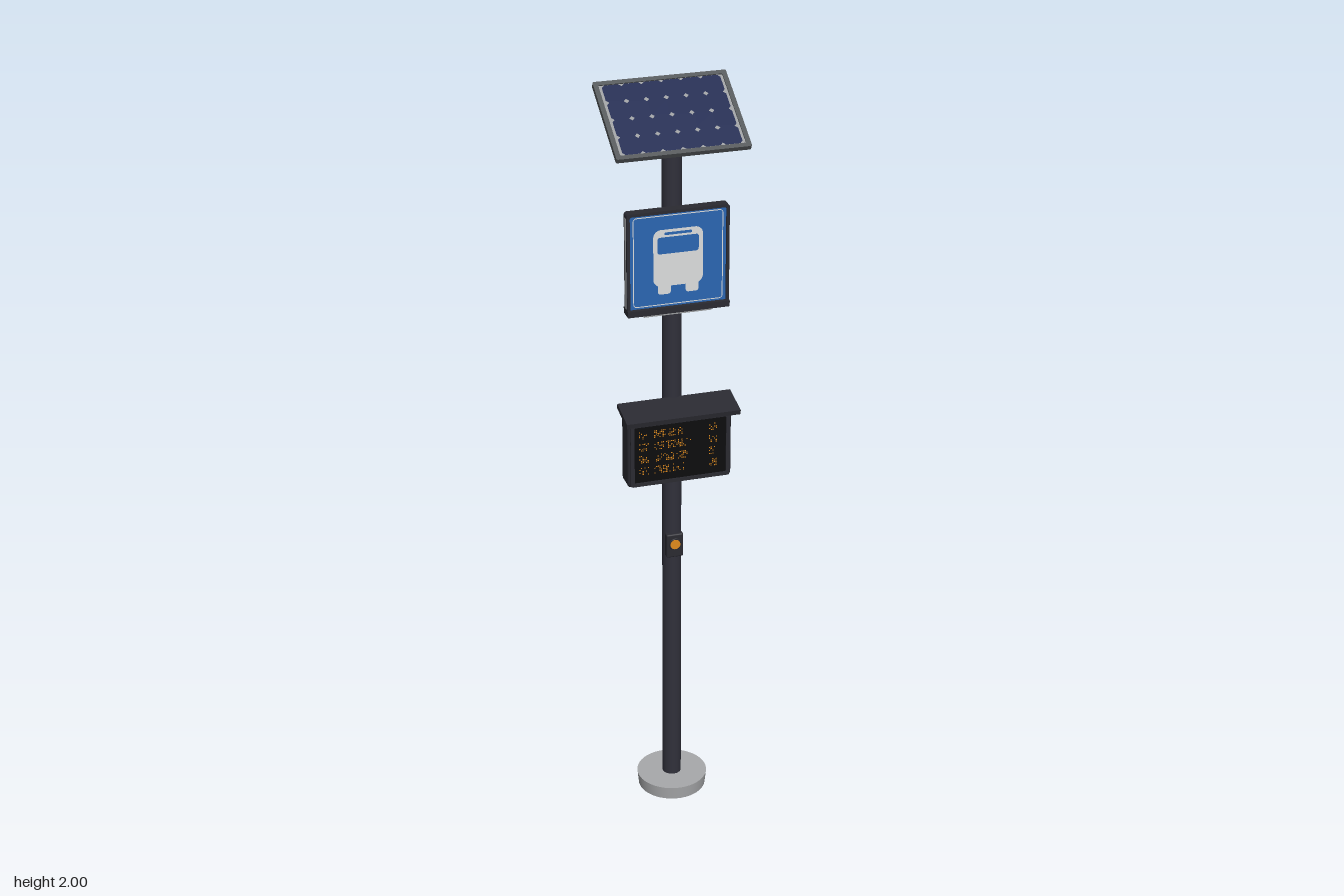
import * as THREE from 'three';
import { mergeGeometries } from 'three/addons/utils/BufferGeometryUtils.js';
import { RoundedBoxGeometry } from 'three/addons/geometries/RoundedBoxGeometry.js';

const paint = (name, color) => Object.assign(new THREE.MeshStandardMaterial({ color }), { name });

// Closed rounded rectangle, usable as a shape or a hole
function roundRect(w, h, r, cx = 0, cy = 0, Type = THREE.Shape) {
  const s = new Type();
  const x = w / 2 - r, y = h / 2 - r;
  s.absarc(cx + x, cy + y, r, 0, Math.PI / 2);
  s.absarc(cx - x, cy + y, r, Math.PI / 2, Math.PI);
  s.absarc(cx - x, cy - y, r, Math.PI, Math.PI * 1.5);
  s.absarc(cx + x, cy - y, r, Math.PI * 1.5, Math.PI * 2);
  s.closePath();
  return s;
}

function frameShape(w, h, r, border) {
  const s = roundRect(w, h, r);
  s.holes.push(roundRect(w - 2 * border, h - 2 * border, r * 0.6, 0, 0, THREE.Path));
  return s;
}

export function createModel() {
  const mat = {
    pole: paint('charcoal paint', 0x30303a),
    dark: paint('dark housing', 0x2a2a31),
    concrete: paint('concrete grey', 0xa8a9ab),
    frame: paint('panel metal', 0x535759),
    silver: paint('silver trim', 0x9a9c9e),
    navy: paint('solar navy', 0x1f2950),
    blue: paint('sign blue', 0x2a66b2),
    white: paint('sign white', 0xdcdddd),
    black: paint('screen black', 0x0c0c0e),
    amber: paint('amber', 0xe08a1c),
  };
  const model = new THREE.Group();
  model.name = 'transitStopPole';

  const add = (parent, name, geo, material, x = 0, y = 0, z = 0) => {
    const m = new THREE.Mesh(geo, material);
    m.name = name;
    m.position.set(x, y, z);
    parent.add(m);
    return m;
  };
  const group = (name, x, y, z, parent = model) => {
    const g = new THREE.Group();
    g.name = name;
    g.position.set(x, y, z);
    parent.add(g);
    return g;
  };
  const box = (w, h, d) => new THREE.BoxGeometry(w, h, d);
  const cyl = (a, b, h, n = 40) => new THREE.CylinderGeometry(a, b, h, n);

  // Foot and pole
  add(model, 'base', cyl(0.095, 0.091, 0.037, 48), mat.concrete, 0, 0.0185);
  add(model, 'pole', cyl(0.025, 0.025, 1.86), mat.pole, 0, 0.96);

  // Solar panel, tilted down towards the front
  const solar = group('solarPanel', 0, 1.932, 0);
  solar.rotation.x = Math.PI / 6;
  const L = 0.248, W = 0.34, T = 0.013;
  const rim = new THREE.ExtrudeGeometry(frameShape(W, L, 0.004, 0.012), { depth: T, bevelEnabled: false });
  rim.rotateX(-Math.PI / 2);
  add(solar, 'panelRim', rim, mat.frame, 0, -T / 2);
  add(solar, 'panelBack', box(W - 0.02, 0.006, L - 0.02), mat.frame, 0, -0.0034);
  add(solar, 'panelBacksheet', box(W - 0.022, 0.004, L - 0.022), mat.silver, 0, 0.0016);

  // Cells with clipped corners leave small diamonds between them
  const cw = 0.0503, ch = 0.0553, c = 0.007, cells = [];
  for (let i = 0; i < 6; i++) for (let j = 0; j < 4; j++) {
    const a = cw / 2, b = ch / 2;
    const pts = [[a - c, -b], [a, c - b], [a, b - c], [a - c, b], [c - a, b], [-a, b - c], [-a, c - b], [c - a, -b]];
    const g = new THREE.ShapeGeometry(new THREE.Shape(pts.map(p => new THREE.Vector2(...p))));
    cells.push(g.translate((i - 2.5) * cw, (j - 1.5) * ch, 0));
  }
  add(solar, 'solarCells', mergeGeometries(cells).rotateX(-Math.PI / 2), mat.navy, 0, 0.005);

  // Tilting mount between pole and panel
  const mount = group('panelMount', 0, 1.9, 0.01);
  add(mount, 'mountNeck', cyl(0.013, 0.013, 0.05, 24), mat.pole, 0, 0.0, -0.005);
  add(mount, 'mountHinge', cyl(0.012, 0.012, 0.034, 24).rotateZ(Math.PI / 2), mat.pole, 0, 0.008, 0.006);
  add(mount, 'mountPlate', box(0.06, 0.006, 0.05), mat.frame, 0, 0.018, 0.001).rotation.x = Math.PI / 6;

  // Double-sided route sign
  const sign = group('routeSign', 0, 1.578, 0.045);
  add(sign, 'signBoard', box(0.25, 0.256, 0.018), mat.blue);
  const border = new THREE.ExtrudeGeometry(frameShape(0.264, 0.266, 0.008, 0.008), { depth: 0.026, bevelEnabled: false });
  add(sign, 'signFrame', border, mat.dark, 0, 0, -0.013);
  for (const s of [-1, 1]) add(sign, 'signEdgeTrim', box(0.002, 0.24, 0.012), mat.silver, s * 0.132, 0, 0);
  add(sign, 'signSill', box(0.264, 0.016, 0.04), mat.dark, 0, -0.13, 0);
  add(sign, 'signLip', box(0.176, 0.008, 0.02), mat.silver, 0, -0.142, 0);
  for (const y of [-0.125, 0.09]) add(sign, 'signBracket', box(0.04, 0.014, 0.045), mat.pole, 0, y, -0.03);

  // Bus pictogram: body with window and destination openings
  const bus = roundRect(0.128, 0.15, 0.02, 0, 0.008);
  bus.holes.push(roundRect(0.106, 0.044, 0.006, 0, 0.041, THREE.Path));
  bus.holes.push(roundRect(0.07, 0.007, 0.002, 0, 0.072, THREE.Path));
  const wheels = [-1, 1].map(s => roundRect(0.034, 0.03, 0.008, s * 0.036, -0.073));
  for (const side of [0, 1]) {
    const face = group('signFace', 0, 0, 0, sign);
    face.rotation.y = side * Math.PI;
    add(face, 'busBody', new THREE.ShapeGeometry(bus), mat.white, 0, 0, 0.0105);
    add(face, 'busWheels', new THREE.ShapeGeometry(wheels), mat.white, 0, 0, 0.0115);
    add(face, 'signOutline', new THREE.ShapeGeometry(frameShape(0.232, 0.238, 0.01, 0.0025)), mat.white, 0, 0.002, 0.0105);
  }

  // Arrival display with sloping hood
  const display = group('arrivalDisplay', 0, 1.064, 0.044);
  add(display, 'displayHousing', new RoundedBoxGeometry(0.276, 0.19, 0.062, 3, 0.01), mat.dark);
  add(display, 'displayScreen', box(0.244, 0.16, 0.004), mat.black, 0, -0.002, 0.03);
  add(display, 'displayBezel', new THREE.ExtrudeGeometry(frameShape(0.264, 0.178, 0.006, 0.01),
    { depth: 0.006, bevelEnabled: false }), mat.dark, 0, -0.002, 0.029);
  add(display, 'displayHood', box(0.3, 0.013, 0.092), mat.dark, 0, 0.108, 0.02).rotation.x = 0.19;
  add(display, 'hoodSupport', box(0.24, 0.02, 0.03), mat.dark, 0, 0.096, -0.005);
  add(display, 'displayBracket', box(0.05, 0.12, 0.03), mat.pole, 0, 0, -0.03);

  // Abstract dot-matrix rows: short, long and short blocks
  let seed = 7;
  const rand = () => (seed = (seed * 16807) % 2147483647) / 2147483647;
  const dots = [], pitch = 0.0045;
  for (let row = 0; row < 4; row++) {
    for (const [x0, n] of [[-0.108, 6], [-0.068, 17 + (row * 5) % 7], [0.078, 5]]) {
      for (let i = 0; i < n; i++) for (let j = 0; j < 5; j++) {
        if (rand() > 0.45) continue;
        dots.push(new THREE.PlaneGeometry(0.003, 0.003).translate(x0 + i * pitch, 0.062 - row * 0.034 - j * pitch, 0));
      }
    }
  }
  add(display, 'displayDots', mergeGeometries(dots), mat.amber, 0, 0, 0.0332);

  // Call button on the pole
  const call = group('callButton', 0, 0.758, 0.022);
  add(call, 'buttonBox', new RoundedBoxGeometry(0.046, 0.068, 0.02, 2, 0.004), mat.dark);
  add(call, 'buttonRing', new THREE.TorusGeometry(0.015, 0.002, 8, 32), mat.dark, 0, 0.005, 0.01);
  add(call, 'buttonCap', cyl(0.0135, 0.0135, 0.006, 32).rotateX(Math.PI / 2), mat.amber, 0, 0.005, 0.01);

  return model;
}
